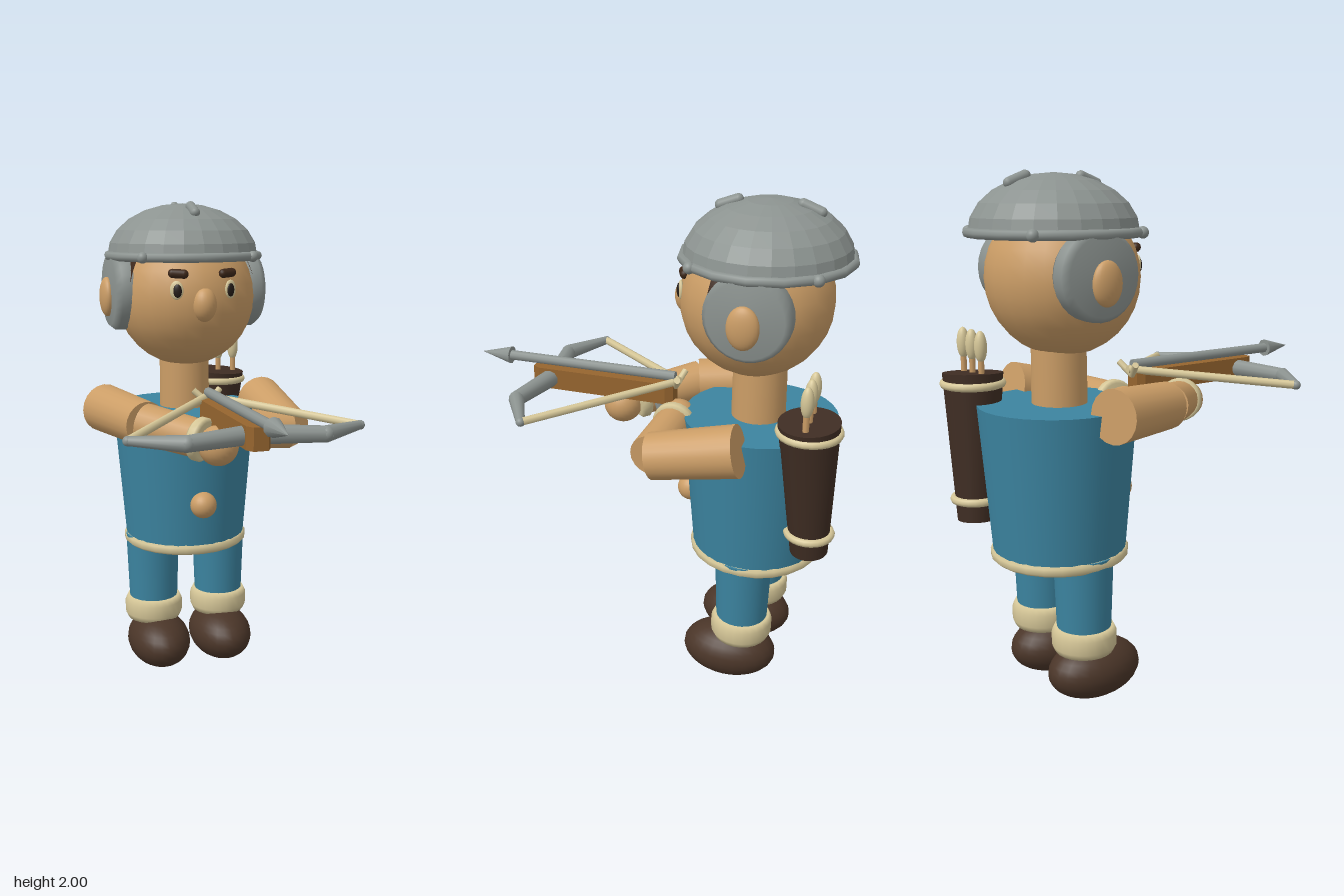
import * as THREE from 'three';

const V = (x, y, z) => new THREE.Vector3(x, y, z);
function mat(name, color, flat = false) {
  const m = new THREE.MeshStandardMaterial({ color });
  m.name = name;
  m.flatShading = flat;
  return m;
}

export function createModel() {
  const skin = mat('skin', 0xcb9d66);
  const teal = mat('teal cloth', 0x3c84a0);
  const cream = mat('cream trim', 0xd6c798);
  const leather = mat('boot leather', 0x4a3528);
  const hairMat = mat('dark hair', 0x3d2719);
  const quiverMat = mat('quiver leather', 0x3f2d23);
  const steel = mat('steel', 0x8c9390);
  const helmetSteel = mat('helmet steel', 0x8c9390, true);
  const wood = mat('wood', 0x96652f);
  const black = mat('pupil', 0x241c18);

  // The figure is built facing +z, then turned to its diagonal stance
  const body = new THREE.Group();
  body.name = 'archer';
  body.rotation.y = Math.PI / 4;
  body.position.set(-0.283, 0, -0.235);

  function add(name, geo, material, pos = V(0, 0, 0), parent = body) {
    const m = new THREE.Mesh(geo, material);
    m.name = name;
    m.position.copy(pos);
    parent.add(m);
    return m;
  }
  function ball(name, material, pos, rx, ry = rx, rz = rx, parent = body) {
    const m = add(name, new THREE.SphereGeometry(1, 24, 16), material, pos, parent);
    m.scale.set(rx, ry, rz);
    return m;
  }
  // Tapered rod from a to b
  function rod(name, material, a, b, ra, rb = ra, sides = 20) {
    const d = b.clone().sub(a);
    const m = add(name, new THREE.CylinderGeometry(rb, ra, d.length(), sides), material, a.clone().add(b).multiplyScalar(0.5));
    m.quaternion.setFromUnitVectors(V(0, 1, 0), d.normalize());
    return m;
  }
  const lathe = (pts, n) => new THREE.LatheGeometry(pts.map(p => new THREE.Vector2(p[0], p[1])), n);
  // Rounded band around the y axis, closed above and below
  const band = (r, h) => lathe([[0, -h], [r - 0.012, -h], [r, -h * 0.5], [r, h * 0.5], [r - 0.012, h], [0, h]], 24);

  // Torso, belt, belly button, neck
  add('torso', new THREE.CylinderGeometry(0.302, 0.255, 0.58, 32), teal, V(0, 0.87, 0));
  add('belt', band(0.266, 0.022), cream, V(0, 0.582, 0));
  ball('bellyButton', skin, V(0, 0.783, 0.28), 0.055);
  add('neck', new THREE.CylinderGeometry(0.103, 0.106, 0.3, 24), skin, V(0, 1.27, 0.01));

  // Legs with cuffs and round boots
  for (const s of [-1, 1]) {
    add('leg', new THREE.CylinderGeometry(0.115, 0.102, 0.36, 24), teal, V(s * 0.15, 0.42, 0.01));
    add('legCuff', band(0.125, 0.05), cream, V(s * 0.15, 0.266, 0.01));
    ball('boot', leather, V(s * 0.142, 0.122, 0.06), 0.133, 0.114, 0.195);
  }

  // Head
  const headC = V(0, 1.625, 0.033), R = 0.288;
  ball('head', skin, headC, R);
  ball('nose', skin, V(0, 1.608, 0.3), 0.05, 0.068, 0.05);
  const onFace = (az, y, r) => {
    const k = Math.sqrt(r * r - (y - headC.y) ** 2);
    return V(Math.sin(az) * k, y, headC.z + Math.cos(az) * k);
  };
  for (const s of [-1, 1]) {
    ball('eyeWhite', cream, onFace(s * 0.4, 1.665, R - 0.002), 0.027, 0.037, 0.01).rotation.y = s * 0.4;
    ball('pupil', black, onFace(s * 0.385, 1.663, R + 0.005), 0.017, 0.026, 0.008).rotation.y = s * 0.385;
    const brow = add('eyebrow', new THREE.CapsuleGeometry(0.018, 0.045, 6, 12), hairMat, onFace(s * 0.38, 1.728, R + 0.002));
    brow.rotation.set(0, s * 0.38, Math.PI / 2 + s * 0.06);
    // Side hair, ear flaps and ears
    const start = s > 0 ? 155 : -10, deg = Math.PI / 180;
    add('sideHair', new THREE.SphereGeometry(R + 0.006, 12, 6, start * deg, 35 * deg, 50 * deg, 27 * deg), hairMat, headC);
    const flap = add('earFlap', lathe([[0, -0.05], [0.15, -0.05], [0.16, -0.03], [0.16, 0.02], [0.14, 0.045], [0, 0.05]], 28), steel, V(s * 0.272, 1.648, 0));
    flap.rotation.z = -s * Math.PI / 2;
    ball('ear', skin, V(s * 0.325, 1.625, 0.005), 0.03, 0.08, 0.06);
  }

  // Helmet dome, rim, rivets and crown ridges
  const dome = [[0.26, 1.775], [0.318, 1.775]];
  for (let i = 0; i <= 6; i++) {
    const t = i / 6 * Math.PI / 2;
    dome.push([Math.max(0, 0.312 * Math.cos(t)), 1.785 + 0.212 * Math.sin(t)]);
  }
  add('helmet', lathe(dome, 24), helmetSteel);
  add('helmetRim', new THREE.TorusGeometry(0.312, 0.018, 8, 16), steel, V(0, 1.788, 0)).rotation.x = Math.PI / 2;
  for (let i = 0; i < 4; i++) {
    const a = Math.PI / 4 + i * Math.PI / 2;
    ball('rivet', steel, V(Math.sin(a) * 0.322, 1.788, Math.cos(a) * 0.322), 0.022);
  }
  for (const s of [-1, 1]) {
    const ridge = add('crownRidge', new THREE.CapsuleGeometry(0.02, 0.07, 6, 12), steel, V(0, 1.972, s * 0.15));
    ridge.rotation.x = Math.PI / 2 + s * 0.36;
  }

  // Arms: shoulder, elbow, wrist, hand
  const arms = [
    ['right', V(-0.35, 1.165, 0.01), V(-0.25, 1.15, 0.325), V(-0.085, 1.12, 0.525), V(-0.035, 1.105, 0.585)],
    ['left', V(0.345, 1.165, 0), V(0.352, 1.095, 0.33), V(0.09, 1.11, 0.325), V(0.025, 1.1, 0.33)],
  ];
  for (const [side, shoulder, elbow, wrist, hand] of arms) {
    rod(side + 'UpperArm', skin, shoulder, elbow, 0.1, 0.09);
    rod(side + 'Forearm', skin, elbow, wrist, 0.083, 0.075);
    const cuff = add(side + 'WristCuff', band(0.086, 0.025), cream, wrist);
    cuff.quaternion.setFromUnitVectors(V(0, 1, 0), wrist.clone().sub(elbow).normalize());
    ball(side + 'Hand', skin, hand, 0.078);
  }

  // Crossbow stock with clipped corners
  const stock = new THREE.Shape();
  [[-0.03, 0.35], [0.03, 0.35], [0.045, 0.38], [0.045, 0.92], [0.028, 0.95], [-0.028, 0.95], [-0.045, 0.92], [-0.045, 0.38]]
    .forEach(([x, z], i) => (i ? stock.lineTo(x, -z) : stock.moveTo(x, -z)));
  const stockGeo = new THREE.ExtrudeGeometry(stock, { depth: 0.085, bevelEnabled: false });
  add('crossbowStock', stockGeo, wood, V(0, 1.162, 0)).rotation.x = -Math.PI / 2;

  // Bow limbs and drawn string
  const nock = V(0, 1.25, 0.335);
  for (const s of [-1, 1]) {
    const mid = V(s * 0.255, 1.2, 0.92), tip = V(s * 0.437, 1.2, 0.815);
    rod('innerLimb', steel, V(0, 1.205, 0.865), mid, 0.037, 0.03, 10);
    ball('limbJoint', steel, mid, 0.03);
    rod('outerLimb', steel, mid, tip, 0.031, 0.017, 10);
    ball('limbTip', steel, tip, 0.018);
    rod('bowString', cream, nock, tip, 0.016, 0.016, 8);
    rod('nockPeg', cream, V(0, 1.225, 0.35), V(s * 0.055, 1.275, 0.325), 0.013, 0.013, 8);
  }
  rod('trigger', steel, V(0, 1.17, 0.43), V(0, 1.07, 0.4), 0.015, 0.015, 8);

  // Bolt
  rod('boltShaft', steel, V(0, 1.268, 0.35), V(0, 1.268, 1.07), 0.02, 0.02, 10);
  rod('boltHead', steel, V(0, 1.268, 1.06), V(0, 1.268, 1.19), 0.036, 0.001, 10);

  // Quiver with trims and three arrows
  const qb = V(0.19, 0.7, -0.255), qt = V(0.23, 1.265, -0.23);
  rod('quiver', quiverMat, qb, qt, 0.073, 0.115, 24);
  for (const [t, r] of [[0.15, 0.083], [0.93, 0.11]]) {
    const ring = add('quiverTrim', new THREE.TorusGeometry(r, 0.016, 8, 24), cream, qb.clone().lerp(qt, t));
    ring.rotation.x = Math.PI / 2;
  }
  for (let i = -1; i <= 1; i++) {
    const x = 0.23 + i * 0.07;
    rod('arrowShaft', skin, V(x, 1.22, -0.23), V(x, 1.34, -0.23), 0.012, 0.012, 8);
    ball('arrowFletching', cream, V(x, 1.37, -0.23), 0.024, 0.06, 0.024);
  }

  const root = new THREE.Group();
  root.name = 'crossbowArcher';
  root.add(body);
  return root;
}
